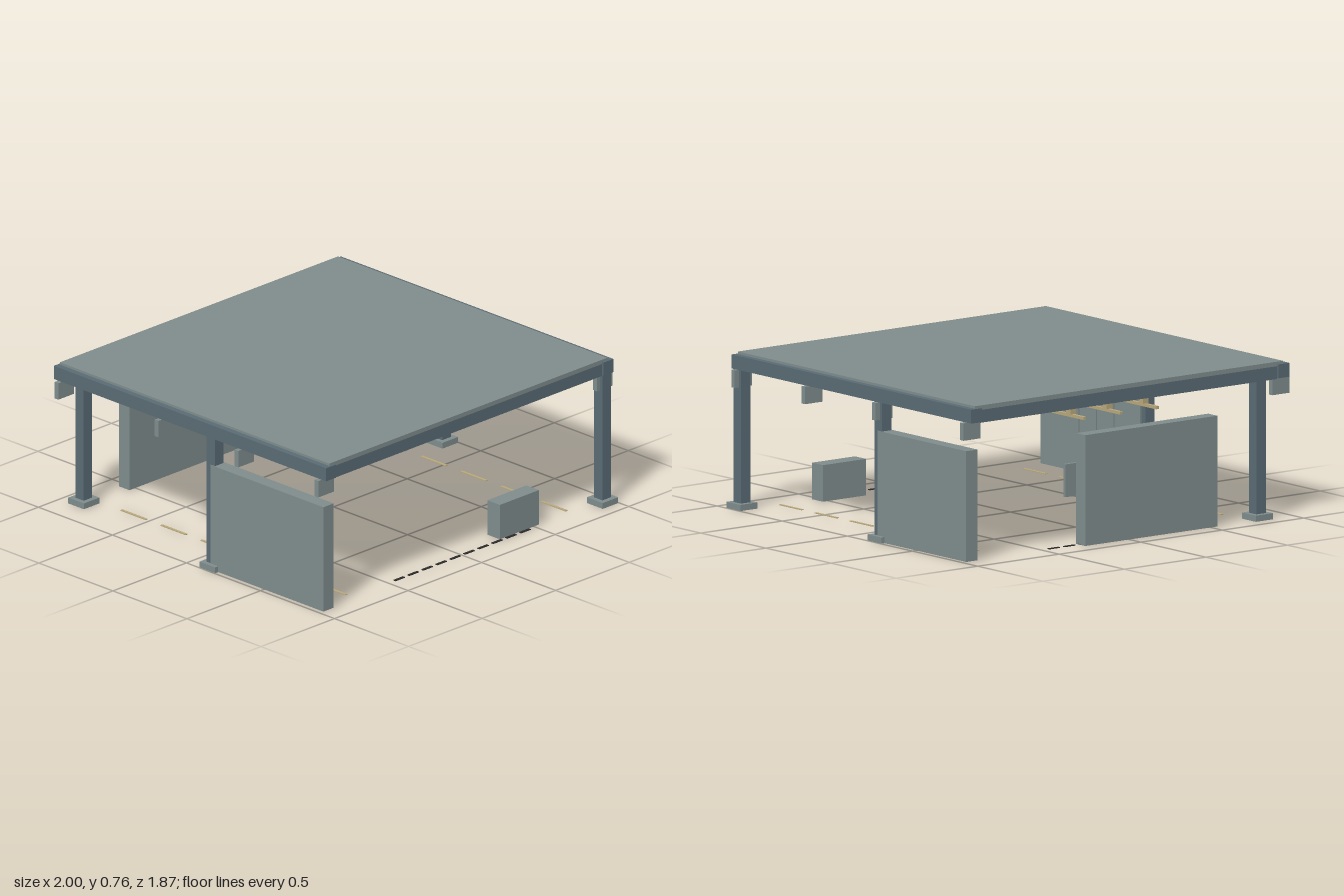
import * as THREE from 'three';

export function createModel() {
  const root = new THREE.Group();
  root.name = 'pavilion';

  const mat = (name, hex) => {
    const m = new THREE.MeshStandardMaterial({ color: hex });
    m.name = name;
    return m;
  };
  const panel = mat('panelGrey', 0x7f8c8c);
  const steel = mat('steelBlue', 0x5a6b74);
  const brass = mat('brass', 0xb9a87c);
  const dark = mat('charcoal', 0x2c2c2c);

  const group = (name) => {
    const g = new THREE.Group();
    g.name = name;
    root.add(g);
    return g;
  };
  // Box given by its extents on each axis
  const box = (parent, name, material, [x0, x1], [y0, y1], [z0, z1]) => {
    const m = new THREE.Mesh(new THREE.BoxGeometry(x1 - x0, y1 - y0, z1 - z0), material);
    m.position.set((x0 + x1) / 2, (y0 + y1) / 2, (z0 + z1) / 2);
    m.name = name;
    parent.add(m);
  };
  const around = (c, width) => [c - width / 2, c + width / 2];

  // Roof slab on a frame of edge beams and cross beams
  const roof = group('roof');
  box(roof, 'roofSlab', panel, [-0.945, 0.945], [0.738, 0.76], [-0.91, 0.91]);
  for (const s of [-1, 1]) box(roof, 'edgeBeam', steel, around(s * 0.943, 0.066), [0.68, 0.748], [-0.92, 0.92]);
  const beamZ = [0.878, 0.338, -0.202, -0.878];
  for (const z of beamZ) {
    box(roof, 'crossBeam', steel, [-0.91, 0.91], [0.675, 0.746], around(z, 0.06));
    for (const s of [-1, 1]) box(roof, 'bracket', panel, around(s * 0.947, 0.106), [0.595, 0.68], around(z, 0.025));
  }

  // Four staggered columns on foot plates
  const columns = group('columns');
  for (const [x, z] of [[0.943, 0.88], [0.943, -0.202], [-0.943, 0.137], [-0.812, -0.88]]) {
    box(columns, 'column', steel, around(x, 0.058), [0.03, 0.685], around(z, 0.056));
    box(columns, 'footPlate', panel, around(x, 0.106), [0, 0.03], around(z, 0.106));
  }

  // Side walls with vertical trims on their inner faces
  const walls = group('walls');
  const sideWalls = [[-1, 0.137, 0.9], [1, -0.88, -0.2]];
  for (const [s, z0, z1] of sideWalls) {
    box(walls, 'sideWall', panel, around(s * 0.94, 0.07), [0, 0.54], [z0, z1]);
    for (const z of [0.342, 0.475, 0.61]) {
      box(walls, 'wallTrim', panel, around(s * 0.9025, 0.008), [0.012, 0.528], around(-s * z, 0.016));
    }
  }

  // Back wall with a screen, and the low counter at the front
  box(walls, 'backWall', panel, [-0.54, 0.27], [0, 0.54], [-0.912, -0.842]);
  box(walls, 'screen', panel, [-0.335, 0.335], [0.235, 0.395], [-0.842, -0.825]);
  box(walls, 'counter', panel, [0.27, 0.535], [0, 0.178], [0.77, 0.855]);

  // Hanging rails
  const rails = group('hangingRails');
  for (const x of [-0.223, 0, 0.223]) {
    box(rails, 'rail', brass, around(x, 0.016), [0.6, 0.615], [-0.85, -0.23]);
    for (const z of [-0.405, -0.743]) box(rails, 'railHanger', brass, around(x, 0.034), [0.615, 0.738], around(z, 0.034));
  }

  // Ceiling lamps with thin lenses
  const lamps = group('ceilingLamps');
  for (const z of [0.338, -0.607]) {
    box(lamps, 'lampHousing', dark, [-0.205, 0.205], [0.657, 0.738], around(z, 0.046));
    box(lamps, 'lampLens', brass, [-0.19, 0.19], [0.653, 0.657], around(z, 0.016));
  }

  // Dashed floor markings
  const markings = group('floorMarkings');
  for (const s of [-1, 1]) {
    for (let i = 0; i < 6; i++) {
      const z = 0.83 - i * 0.27;
      box(markings, 'sideDash', brass, around(s * 0.748, 0.014), [0, 0.004], [z - 0.17, z]);
    }
    for (let i = 0; i < 10; i++) {
      const x = -0.46 + i * 0.095;
      box(markings, 'endDash', dark, [x, x + 0.065], [0, 0.004], around(s * 0.868, 0.014));
    }
  }

  return root;
}
